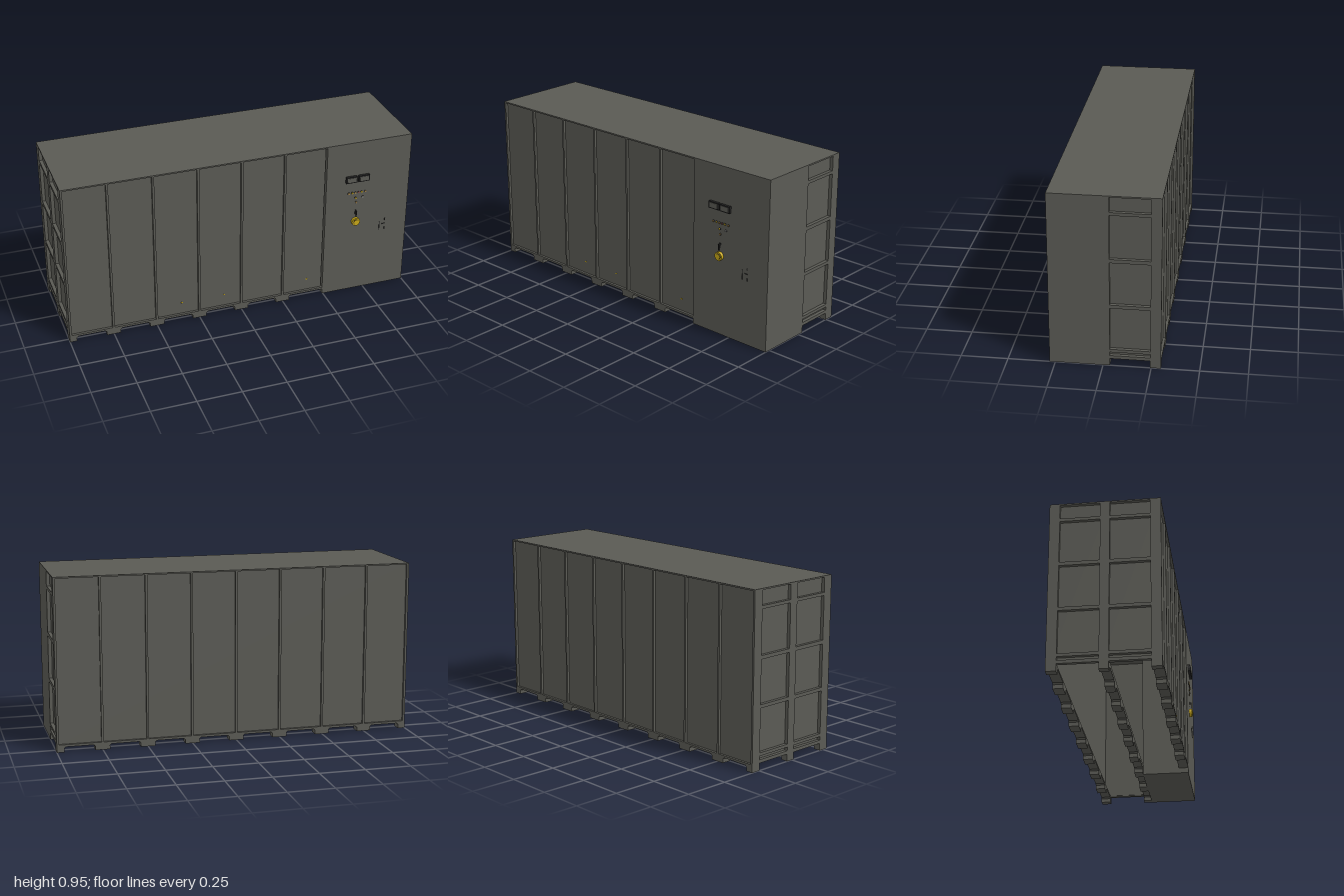
import * as THREE from 'three';

const mat = (name, color, side = THREE.FrontSide) => {
  const m = new THREE.MeshStandardMaterial({ color, side });
  m.name = name;
  return m;
};

export function createModel() {
  const root = new THREE.Group();
  root.name = 'containerCabinet';
  const steel = mat('olive grey steel', 0x5a5a54);
  const black = mat('black trim', 0x232323);
  const yellow = mat('yellow', 0xc8a818);
  const gold = mat('brass', 0xb08c50);
  const red = mat('dull red', 0x8a4a48);
  const silver = mat('pale grey', 0x8c8c8c);

  const group = (name) => {
    const g = new THREE.Group();
    g.name = name;
    root.add(g);
    return g;
  };
  const add = (parent, name, geo, material) => {
    const m = new THREE.Mesh(geo, material);
    m.name = name;
    parent.add(m);
    return m;
  };
  // Box given by its limits on each axis
  const box = (parent, name, material, x0, x1, y0, y1, z0, z1) => {
    const m = add(parent, name, new THREE.BoxGeometry(x1 - x0, y1 - y0, z1 - z0), material);
    m.position.set((x0 + x1) / 2, (y0 + y1) / 2, (z0 + z1) / 2);
    return m;
  };
  // Round part pointing out of the front face
  const stud = (parent, name, material, x, y, r, z0, z1, sides = 20) => {
    const g = new THREE.CylinderGeometry(r, r, z1 - z0, sides).rotateX(Math.PI / 2);
    add(parent, name, g, material).position.set(x, y, (z0 + z1) / 2);
  };

  const H = 0.955, B = -0.3, F = 0.28, CAB = 0.495;
  const RIB = 0.006, IN = 0.014, BAY = 0.25;

  // Roof
  box(root, 'roof', steel, -1, 1, H - 0.008, H, B, F);

  // Long walls: recessed panels between upright ribs
  const wall = (name, zOut, dir, bays, xEnd) => {
    const g = group(name);
    const span = (d0, d1) => [zOut - dir * d0, zOut - dir * d1].sort((a, b) => a - b);
    box(g, 'wallPanel', steel, -0.99, xEnd - 0.005, 0.035, H - 0.004, ...span(IN, IN + 0.006));
    for (let i = 0; i <= bays; i++) {
      const x = -1 + i * BAY;
      const x0 = Math.max(x - RIB, -1), x1 = Math.min(x + RIB, xEnd);
      const edge = i === 0 || x === 1;
      if (x1 <= x0) continue;
      const a = i === 0 ? -1 : x === 1 ? 0.988 : x0;
      const b = i === 0 ? -0.988 : x === 1 ? 1 : x1;
      box(g, 'wallRib', steel, a, b, 0.03, H - 0.004, ...span(0, edge ? 0.055 : 0.02));
    }
    box(g, 'bottomRail', steel, -1, xEnd, 0.03, 0.042, ...span(0, 0.055));
  };
  wall('frontWall', F, 1, 5, CAB);
  wall('backWall', B, -1, 8, 1);

  // Middle floor rail
  box(root, 'middleRail', steel, -1, 1, 0.03, 0.055, -0.035, 0.015);

  // Feet with flared tops in three rows
  const feet = group('feet');
  const foot = (x, z0, depth) => {
    const l = Math.max(x - 0.04, -1), r = Math.min(x + 0.04, 1);
    const lt = Math.max(x - 0.049, -1), rt = Math.min(x + 0.049, 1);
    const s = new THREE.Shape([[l, 0], [r, 0], [r, 0.022], [rt, 0.031], [lt, 0.031], [l, 0.022]]
      .map(([a, b]) => new THREE.Vector2(a, b)));
    const geo = new THREE.ExtrudeGeometry(s, { depth, bevelEnabled: false });
    add(feet, 'foot', geo, steel).position.z = z0;
  };
  for (let i = 0; i <= 8; i++) {
    const x = -1 + i * BAY;
    foot(x, B, 0.055);
    foot(x, -0.035, 0.05);
    if (x < CAB) foot(x, F - 0.055, 0.055);
  }

  // End frames: posts, cross bars and recessed panels
  const bars = [[0.04, 0.058], [0.078, 0.095], [0.333, 0.352], [0.59, 0.61], [0.85, 0.867], [0.947, H - 0.004]];
  const endFrame = (name, s, columns) => {
    const g = group(name);
    const xs = (d0, d1) => [s * (1 - d0), s * (1 - d1)].sort((a, b) => a - b);
    for (const [z0, z1] of columns) {
      for (const [y0, y1] of bars) box(g, 'crossBar', steel, ...xs(0, 0.02), y0, y1, z0, z1);
      box(g, 'endPanel', steel, ...xs(0.019, 0.024), 0.045, H - 0.004, z0 - 0.04, z1 + 0.04);
    }
    box(g, 'middlePost', steel, ...xs(0, 0.02), 0.03, H - 0.004, -0.035, 0.015);
    box(g, 'backPost', steel, ...xs(0, 0.02), 0.03, H - 0.004, B + 0.02, -0.245);
    if (s < 0) box(g, 'frontPost', steel, ...xs(0, 0.02), 0.03, H - 0.004, 0.225, F - 0.02);
  };
  endFrame('rightSideFrame', 1, [[-0.245, -0.035]]);
  endFrame('leftSideFrame', -1, [[-0.245, -0.035], [0.015, 0.225]]);

  // Closed control cabinet reaching the ground
  box(root, 'controlCabinet', steel, CAB, 1, 0, H - 0.001, 0.012, F);

  // Control panel
  const ctl = group('controlPanel');
  for (const [x0, x1] of [[0.61, 0.675], [0.685, 0.75]]) {
    box(ctl, 'meterFrame', black, x0, x1, 0.712, 0.75, F, 0.295);
    box(ctl, 'meterFace', steel, x0 + 0.006, x1 - 0.006, 0.718, 0.744, 0.294, 0.297);
  }
  const buttons = [
    [0.632, 0.64, gold], [0.654, 0.64, yellow], [0.673, 0.64, gold], [0.692, 0.64, red],
    [0.711, 0.64, yellow], [0.734, 0.64, gold], [0.676, 0.606, yellow], [0.718, 0.606, silver],
    [0.68, 0.577, gold],
  ];
  for (const [x, y, m] of buttons) {
    stud(ctl, 'buttonCollar', black, x, y, 0.0065, F, 0.283, 12);
    stud(ctl, 'button', m, x, y, 0.005, 0.282, 0.286, 12);
  }
  // Handle
  box(ctl, 'handleArm', black, 0.677, 0.683, 0.515, 0.523, F, 0.294);
  box(ctl, 'handleGrip', black, 0.677, 0.683, 0.488, 0.523, 0.289, 0.294);
  box(ctl, 'handlePlate', black, 0.676, 0.684, 0.5, 0.528, F, 0.282);
  // Round stop switch
  stud(ctl, 'switchBody', yellow, 0.68, 0.455, 0.024, F, 0.296, 24);
  stud(ctl, 'switchRing', black, 0.68, 0.455, 0.016, 0.295, 0.297, 24);
  stud(ctl, 'switchKnob', yellow, 0.68, 0.455, 0.014, 0.295, 0.3, 24);

  // Door lock fittings
  const lock = group('doorLock');
  box(lock, 'lockEdge', black, 0.832, 0.835, 0.365, 0.42, F, 0.283);
  box(lock, 'lockTop', black, 0.864, 0.868, 0.425, 0.44, F, 0.283);
  box(lock, 'lockMiddle', black, 0.85, 0.868, 0.402, 0.406, F, 0.283);
  box(lock, 'lockBottom', black, 0.864, 0.868, 0.365, 0.38, F, 0.283);

  // Small marks low on the front panels
  for (const x of [-0.35, -0.1, 0.4])
    box(root, 'panelMark', yellow, x - 0.005, x + 0.005, 0.109, 0.115, F - IN - 0.001, F - IN + 0.002);

  return root;
}
